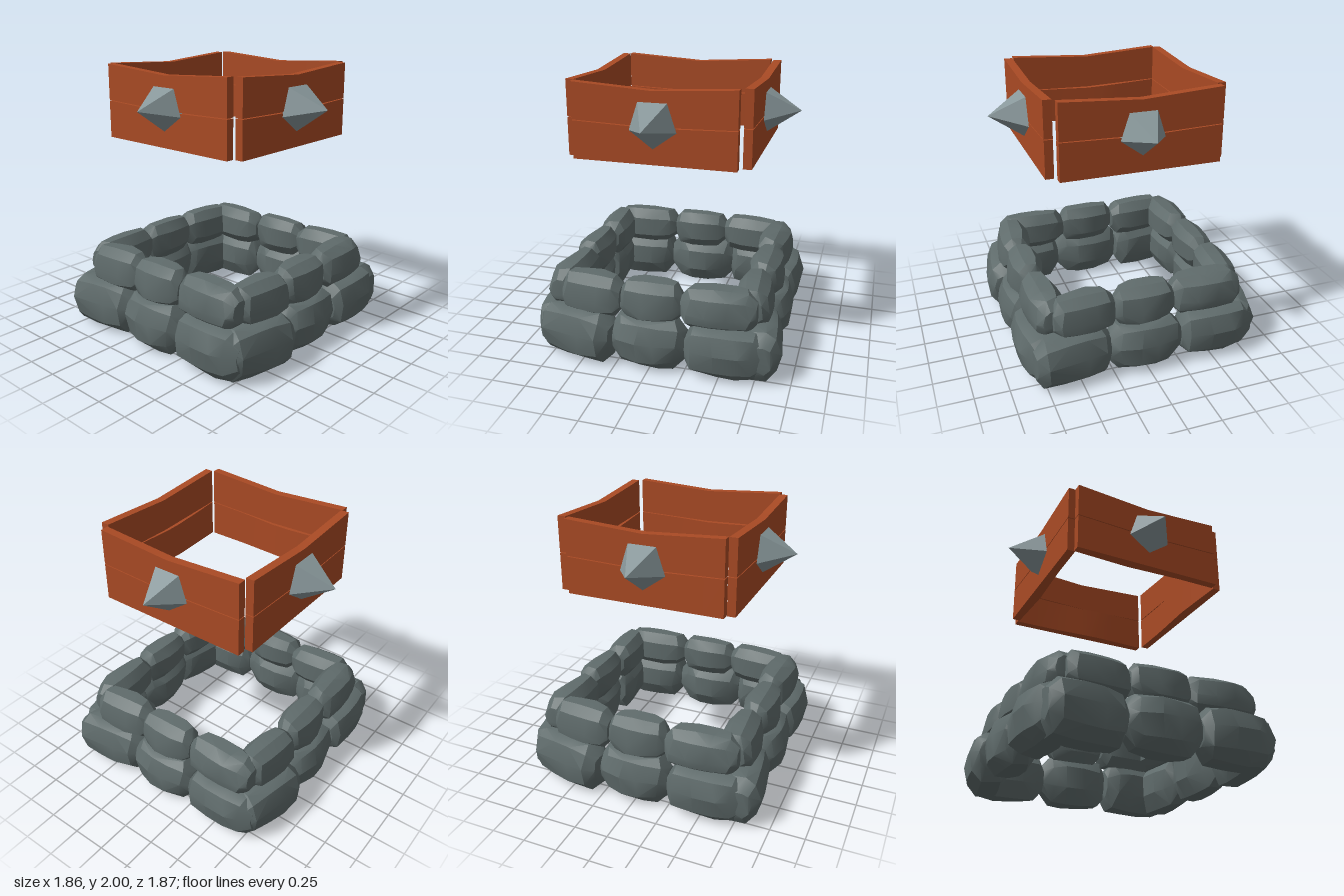
import * as THREE from 'three';
import { toCreasedNormals } from 'three/addons/utils/BufferGeometryUtils.js';
import { ConvexGeometry } from 'three/addons/geometries/ConvexGeometry.js';

const stone = new THREE.MeshStandardMaterial({ color: 0x5f6b6b });
const wood = new THREE.MeshStandardMaterial({ color: 0xa94a24 });
const metal = new THREE.MeshStandardMaterial({ color: 0x88979a });
stone.name = 'stone';
wood.name = 'wood';
metal.name = 'metal';

// Cross-sections [depth, height]; the outer face (+depth) is ridged
const lowerSection = [[1, 0.15], [0.72, 0.78], [0.25, 1], [-0.5, 1], [-1, 0.45], [-1, -0.4], [-0.55, -1], [0.35, -1], [0.86, -0.6]];
const upperSection = [[1, -0.2], [0.8, 0.62], [0.2, 1], [-0.55, 1], [-1, 0.5], [-1, -0.5], [-0.5, -1], [0.5, -1], [0.95, -0.65]];

function seeded(seed) {
  return () => {
    seed = (seed * 16807) % 2147483647;
    return seed / 2147483647 - 0.5;
  };
}

function part(name, geometry, material) {
  const mesh = new THREE.Mesh(geometry, material);
  mesh.name = name;
  return mesh;
}

// Chipped boulder: sections along x, slightly shifted, wrapped in a hull; blunt is the depth kept near the ends
function rockGeometry(section, length, height, depth, blunt, seed) {
  const rnd = seeded(seed);
  const stations = [[-1, 0.52, blunt * 0.62], [-0.74, 0.92, blunt], [-0.25, 1, 1], [0.3, 1, 1], [0.74, 0.92, blunt], [1, 0.52, blunt * 0.62]];
  const points = [];
  for (const [t, sy, sz] of stations) {
    const end = Math.abs(t) === 1;
    for (const [z, y] of section) {
      const x = end ? t * (1 - Math.abs(rnd()) * 0.1) : t + rnd() * 0.2;
      const k = 1 + rnd() * 0.1;
      points.push(new THREE.Vector3(
        x * length / 2,
        THREE.MathUtils.clamp(y * sy * k, -1, 1) * height / 2,
        THREE.MathUtils.clamp(z * sz * k, -1, 1) * depth / 2));
    }
  }
  return toCreasedNormals(new ConvexGeometry(points), 0.45);
}

// Plank whose edges sag to the middle and whose inner face may swell
function plankGeometry(bottom, top, bottomSag, topSag, swell) {
  const geo = new THREE.BoxGeometry(1.14, 1, 0.06, 8, 1, 1);
  const p = geo.attributes.position;
  for (let i = 0; i < p.count; i++) {
    const x = p.getX(i);
    const mid = 1 - Math.abs(x) / 0.57;
    p.setY(i, p.getY(i) > 0 ? top - topSag * mid : bottom - bottomSag * mid);
    if (p.getZ(i) < 0) p.setZ(i, -0.03 - swell * Math.max(0, 1 - Math.abs(x + 0.15) / 0.42));
  }
  return toCreasedNormals(geo, 0.5);
}

// Rocks of one wall: [name, section, x, y, z, length, height, depth, blunt, yaw]
function wallRocks(odd) {
  return [
    ['lowerLeftRock', lowerSection, -0.55, 0.205, 0.75, 0.58, 0.4, 0.31, 0.94, odd ? 0.14 : -0.19],
    ['lowerMiddleRock', lowerSection, -0.01, 0.205, 0.75, 0.55, 0.39, 0.31, 0.74, 0],
    ['lowerRightRock', lowerSection, 0.54, 0.205, 0.75, 0.58, 0.39, 0.32, 0.8, odd ? 0 : 0.04],
    ['upperLeftRock', upperSection, -0.45, 0.495, 0.69, 0.47, 0.3, 0.26, 0.85, odd ? 0.08 : -0.1],
    ['upperMiddleRock', upperSection, -0.005, 0.495, 0.7, 0.45, 0.3, 0.26, 0.76, 0],
    ['upperRightRock', upperSection, 0.48, 0.495, 0.69, 0.54, 0.3, 0.26, 0.8, odd ? -0.04 : 0.05],
  ];
}

export function createModel() {
  const model = new THREE.Group();
  model.name = 'stoneRingWithSpikedFrame';

  const stones = new THREE.Group();
  stones.name = 'stoneRing';
  const frame = new THREE.Group();
  frame.name = 'spikedFrame';
  model.add(stones, frame);

  const upper = plankGeometry(1.742, 2, 0.016, 0.035, 0);
  const lower = plankGeometry(1.468, 1.736, 0, 0.018, 0.018);
  const spike = new THREE.ConeGeometry(0.176, 0.255, 5).rotateX(Math.PI / 2).toNonIndexed();
  spike.computeVertexNormals();

  ['front', 'left', 'back', 'right'].forEach((side, k) => {
    const odd = k % 2 === 1;

    // Two courses of three rocks
    const wall = new THREE.Group();
    wall.name = side + 'Rocks';
    wall.rotation.y = k * Math.PI / 2;
    wallRocks(odd).forEach(([name, section, x, y, z, l, h, d, blunt, yaw], i) => {
      const rock = part(name, rockGeometry(section, l, h, d, blunt, 911 + i * 7793), stone);
      rock.position.set(x, y, z);
      rock.rotation.y = yaw;
      wall.add(rock);
    });
    stones.add(wall);

    // Two planks and a five-sided spike
    const panel = new THREE.Group();
    panel.name = side + 'Panel';
    panel.rotation.y = k * Math.PI / 2;
    panel.position.set(odd ? 0.003 : -0.006, 0, odd ? 0 : 0.012);
    const planks = [part('upperPlank', upper, wood), part('lowerPlank', lower, wood)];
    planks.forEach((plank) => { plank.position.z = odd ? 0.6125 : 0.603; });
    const tip = part('spike', spike, metal);
    tip.position.set(0, 1.75, 0.755);
    panel.add(...planks, tip);
    frame.add(panel);
  });

  return model;
}
